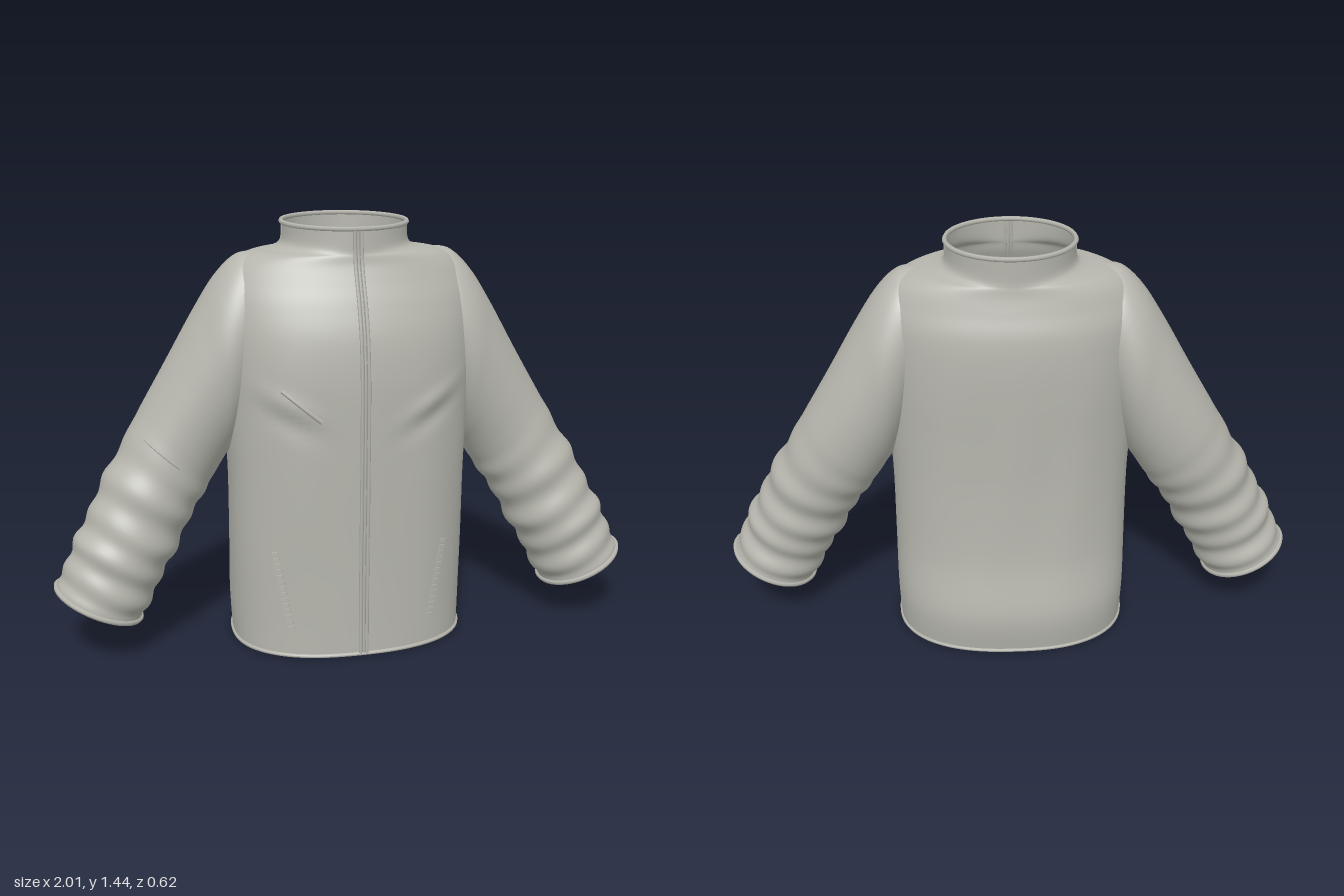
import * as THREE from 'three';

// Torso sections: y, half width, front z, back z, squareness
const TORSO = [
  [0.005, 0.40, 0.290, -0.290, 2.4],
  [0.15, 0.405, 0.290, -0.306, 2.4],
  [0.35, 0.405, 0.292, -0.273, 2.4],
  [0.60, 0.405, 0.298, -0.262, 2.4],
  [0.80, 0.415, 0.302, -0.264, 2.3],
  [0.95, 0.42, 0.302, -0.267, 2.3],
  [1.08, 0.425, 0.288, -0.267, 2.2],
  [1.18, 0.425, 0.258, -0.258, 2.1],
  [1.25, 0.41, 0.228, -0.237, 2.0],
  [1.30, 0.375, 0.207, -0.222, 2.0],
  [1.33, 0.32, 0.200, -0.216, 2.0],
  [1.343, 0.245, 0.197, -0.214, 2.0],
  [1.365, 0.212, 0.196, -0.213, 2.0],
  [1.424, 0.207, 0.194, -0.214, 2.0],
];

// Sleeve sections: upper x, upper y, lower x, lower y, centre z, half depth
const SLEEVE = [
  [0.29, 1.335, 0.33, 0.88, -0.005, 0.15],
  [0.36, 1.325, 0.36, 0.77, -0.006, 0.175],
  [0.43, 1.26, 0.385, 0.71, -0.008, 0.186],
  [0.505, 1.145, 0.40, 0.675, -0.010, 0.180],
  [0.60, 0.98, 0.42, 0.645, -0.012, 0.172],
  [0.70, 0.81, 0.46, 0.58, -0.008, 0.162],
  [0.805, 0.63, 0.525, 0.48, 0.014, 0.156],
  [0.885, 0.48, 0.60, 0.345, 0.038, 0.155],
  [0.945, 0.36, 0.665, 0.225, 0.052, 0.153],
  [0.995, 0.25, 0.722, 0.122, 0.057, 0.152],
];

// Smooth interpolation of every column, t from 0 to 1
function sample(rows, t) {
  const f = Math.min(Math.max(t, 0), 1) * (rows.length - 1);
  const i = Math.min(Math.floor(f), rows.length - 2), u = f - i;
  const at = k => rows[Math.min(Math.max(k, 0), rows.length - 1)];
  const [a, b, c, d] = [at(i - 1), at(i), at(i + 1), at(i + 2)];
  return b.map((p, k) => p + 0.5 * u * (c[k] - a[k]
    + u * (2 * a[k] - 5 * p + 4 * c[k] - d[k] + u * (3 * (p - c[k]) + d[k] - a[k]))));
}

// Diagonal chest folds and faint vertical drape
function fold(x, y, front) {
  const ax = Math.abs(x);
  const across = (y - 0.875) - 0.5 * (ax - 0.24), along = (ax - 0.24) / 0.09;
  const gauss = v => Math.exp(-v * v);
  const chest = front ? gauss(along) * (0.012 * gauss(across / 0.03) - 0.01 * gauss((across + 0.06) / 0.03)) : 0;
  const drape = 0.003 * Math.sin(x * 28 + y * 2) * gauss((y - 0.6) / 0.35);
  return chest + drape;
}

function torsoPoint(t, a) {
  const [y, w, zf, zb, p] = sample(TORSO, t);
  const c = Math.cos(a), s = Math.sin(a);
  const power = v => Math.sign(v) * Math.abs(v) ** (2 / p);
  const mid = (zf + zb) / 2;
  const x = w * power(c);
  let z = mid + (zf - zb) / 2 * power(s);
  z += fold(x, y, s > 0) * s;
  const tilt = THREE.MathUtils.smoothstep(y, 1.34, 1.42) * -0.03 * z;
  return new THREE.Vector3(x, y + tilt, z);
}

// Point on the front of the torso at a given x and y
function frontPoint(x, y, lift = 0) {
  let lo = 0, hi = 1;
  for (let i = 0; i < 30; i++) {
    const m = (lo + hi) / 2;
    if (sample(TORSO, m)[0] < y) lo = m; else hi = m;
  }
  const [, w, , , p] = sample(TORSO, lo);
  const c = Math.sign(x) * Math.min(Math.abs(x) / w, 1) ** (p / 2);
  const pt = torsoPoint(lo, Math.acos(c));
  pt.z += lift;
  return pt;
}

// Sleeve with bunched cloth towards the cuff
function sleevePoint(side, t, a) {
  const [ux, uy, lx, ly, zc, hz] = sample(SLEEVE, t);
  const c = Math.cos(a), s = Math.sin(a);
  const ramp = THREE.MathUtils.smoothstep(t, 0.52, 0.7) * (1 - THREE.MathUtils.smoothstep(t, 0.95, 1));
  const phase = t * 76 + 0.9 * Math.sin(a + 0.6) + 0.4 * Math.sin(2 * a);
  const r = 1 + ramp * (0.035 * Math.sin(phase) + 0.018 * Math.sin(t * 41 - 1.5 * Math.cos(a)));
  const k = c * r;
  return new THREE.Vector3(
    side * ((ux + lx) / 2 + (ux - lx) / 2 * k), (uy + ly) / 2 + (uy - ly) / 2 * k, zc + hz * s * r);
}

// Closed-ring surface from a point function
function loft(fn, rows, cols) {
  const pos = [], idx = [];
  for (let i = 0; i <= rows; i++) {
    for (let j = 0; j < cols; j++) pos.push(...fn(i / rows, j / cols * Math.PI * 2).toArray());
  }
  for (let i = 0; i < rows; i++) {
    for (let j = 0; j < cols; j++) {
      const a = i * cols + j, b = i * cols + (j + 1) % cols;
      idx.push(a, a + cols, b, b, a + cols, b + cols);
    }
  }
  const g = new THREE.BufferGeometry();
  g.setAttribute('position', new THREE.Float32BufferAttribute(pos, 3));
  g.setIndex(idx);
  g.computeVertexNormals();
  return g;
}

export function createModel() {
  const jacket = new THREE.Group();
  jacket.name = 'jacket';
  const cloth = new THREE.MeshStandardMaterial({ color: 0xb6b6ae, side: THREE.DoubleSide });
  cloth.name = 'grey cloth';

  const add = (name, geometry) => {
    const m = new THREE.Mesh(geometry, cloth);
    m.name = name;
    jacket.add(m);
    return m;
  };
  const cord = (name, points, radius, closed = false) => add(name, new THREE.TubeGeometry(
    new THREE.CatmullRomCurve3(points, closed), points.length * 2, radius, 6, closed));
  const ring = fn => Array.from({ length: 48 }, (_, j) => fn(j / 48 * Math.PI * 2));
  const line = (n, fn) => Array.from({ length: n + 1 }, (_, i) => fn(i / n));

  // Body with collar, and its bound edges
  add('body', loft(torsoPoint, 104, 96));
  cord('hemEdge', ring(a => torsoPoint(0.003, a)), 0.007, true);
  cord('collarEdge', ring(a => torsoPoint(1, a)), 0.008, true);

  // Front zip: two rails and a row of teeth
  for (const x of [-0.011, 0.011]) {
    cord('zipRail', line(50, u => frontPoint(x, 0.01 + 1.408 * u, 0.002)), 0.006);
  }
  cord('zipTeeth', line(50, u => frontPoint(0, 0.01 + 1.408 * u, 0.001)), 0.005);

  for (const side of [1, -1]) {
    // Sleeve and cuff
    const name = side > 0 ? 'left' : 'right';
    add(name + 'Sleeve', loft((t, a) => sleevePoint(side, t, a), 110, 56));
    cord(name + 'CuffEdge', ring(a => sleevePoint(side, 1, a)), 0.009, true);

    // Slanted hand pocket zip
    for (let i = 0; i < 14; i++) {
      const u = i / 13;
      const tooth = add(name + 'PocketTooth', new THREE.BoxGeometry(0.022, 0.012, 0.008));
      tooth.position.copy(frontPoint(side * (0.24 + 0.045 * u), 0.11 + 0.26 * u));
      tooth.rotation.set(0, side * 0.45, side * -0.17);
    }
    // Collar side seam
    cord(name + 'CollarSeam', line(4, u => torsoPoint(0.93 + 0.07 * u, side > 0 ? 0 : Math.PI)), 0.003);
  }

  // Chest pocket on the right breast
  cord('chestPocket', line(8, u => frontPoint(-0.26 + 0.12 * u, 0.925 - 0.1 * u, 0.001)), 0.008);

  // Seam across the right upper sleeve
  cord('sleeveSeam', line(8, u => sleevePoint(-1, 0.575, 0.75 + 0.95 * u)), 0.004);

  return jacket;
}
